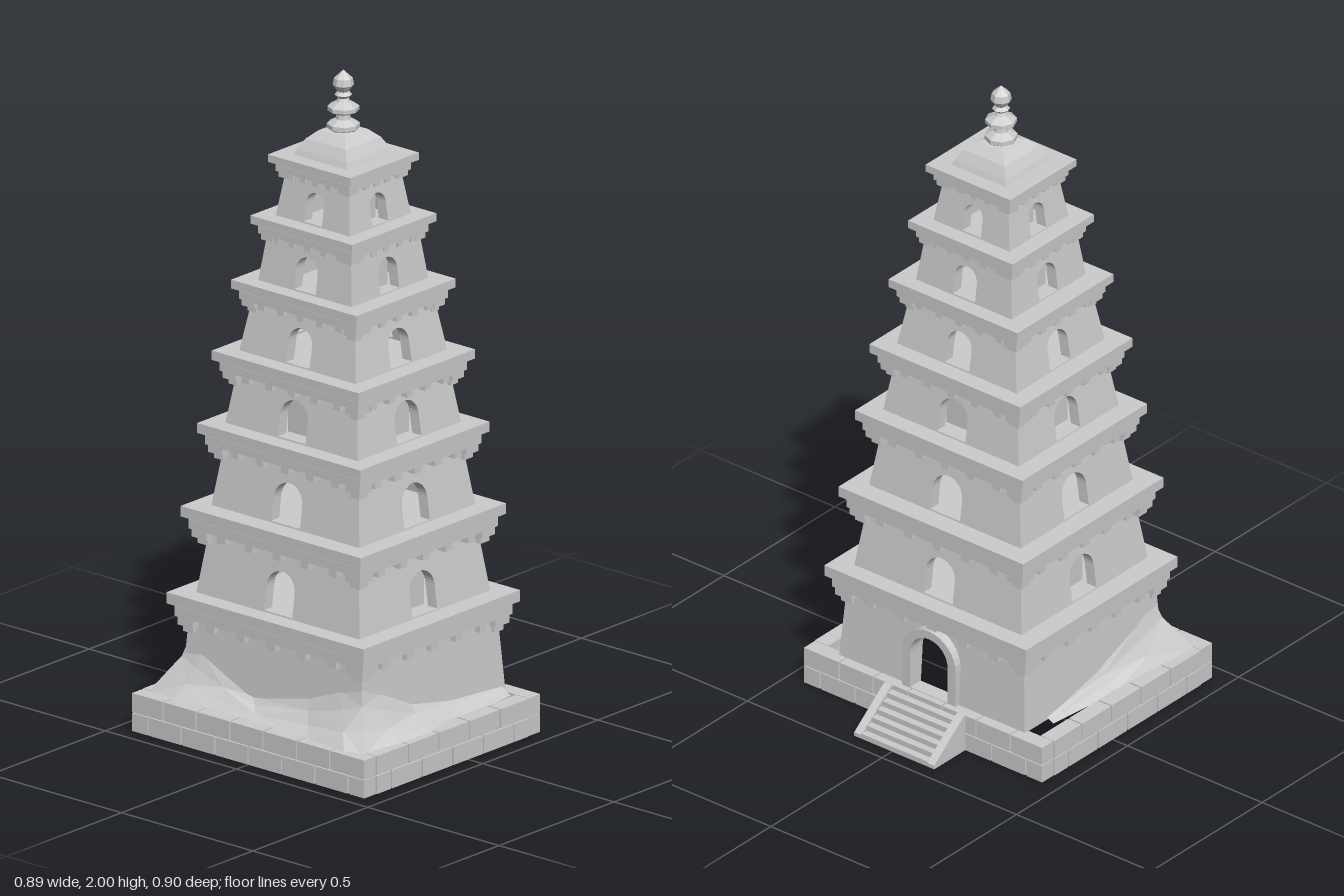
import * as THREE from 'three';

const stone = new THREE.MeshStandardMaterial({ color: 0xcccccc });
stone.name = 'grey stone';
const rubbleStone = stone.clone();
rubbleStone.name = 'grey rubble';
rubbleStone.side = THREE.DoubleSide;

const CX = -0.005, CZ = 0.03;

function add(parent, name, geometry, x = 0, y = 0, z = 0, material = stone) {
  const m = new THREE.Mesh(geometry, material);
  m.name = name;
  m.position.set(x, y, z);
  parent.add(m);
  return m;
}

// box given by its centre in x and z and its bottom in y
function box(parent, name, w, h, d, x, y, z) {
  return add(parent, name, new THREE.BoxGeometry(w, h, d), x, y + h / 2, z);
}

function flat(geometry) {
  const g = geometry.index ? geometry.toNonIndexed() : geometry;
  g.computeVertexNormals();
  return g;
}

// arched outline standing on y = sill
function arch(path, w, h, sill) {
  const r = w / 2, spring = sill + h - r;
  path.moveTo(-r, sill);
  path.lineTo(r, sill);
  path.lineTo(r, spring);
  path.absarc(0, spring, r, 0, Math.PI, false);
  path.lineTo(-r, sill);
  return path;
}

// leaning wall with an optional arched opening; outer face at distance db (bottom) to dt (top)
function wallGeometry(wb, wt, db, dt, h, opening) {
  const t = 0.035;
  const s = new THREE.Shape();
  s.moveTo(-wb, 0);
  s.lineTo(wb, 0);
  s.lineTo(wt, h);
  s.lineTo(-wt, h);
  s.closePath();
  if (opening) s.holes.push(arch(new THREE.Path(), opening.w, opening.h, opening.sill));
  const g = new THREE.ExtrudeGeometry(s, { depth: t, bevelEnabled: false, curveSegments: 8 });
  const p = g.attributes.position;
  for (let i = 0; i < p.count; i++) {
    p.setZ(i, p.getZ(i) - t + db + (dt - db) * p.getY(i) / h);
  }
  return flat(g);
}

// stepped cornice with small brackets and doubled corner brackets
function cornice(parent, top, W, D, wallX, wallZ, k) {
  const g = new THREE.Group();
  g.name = 'cornice';
  parent.add(g);
  const a = 0.034 * k, b = 0.03 * k, c = 0.026 * k;
  box(g, 'eaveSlab', 2 * W, a, 2 * D, 0, top - a, 0);
  box(g, 'eaveNeck', 2 * W - 0.05, 0.008, 2 * D - 0.05, 0, top - a - 0.008, 0);
  const y1 = top - a - 0.008 - b;
  box(g, 'lowerEave', 2 * W - 0.032, b, 2 * D - 0.032, 0, y1, 0);
  const size = 0.032 * k, n = 5;
  for (const s of [-1, 1]) {
    for (let i = 1; i <= n; i++) {
      const u = (i / (n + 1)) * 2 - 1;
      const lx = W - 0.026 - wallX + 0.02, lz = D - 0.026 - wallZ + 0.02;
      box(g, 'bracket', size, c, lz, u * W * 0.93, y1 - c, s * (D - 0.026 - lz / 2));
      box(g, 'bracket', lx, c, size, s * (W - 0.026 - lx / 2), y1 - c, u * D * 0.93);
    }
    for (const q of [-1, 1]) {
      box(g, 'cornerBracket', 0.06 * k, c, 0.06 * k, s * (W - 0.022 - 0.03 * k), y1 - c, q * (D - 0.022 - 0.03 * k));
      box(g, 'cornerBracketFoot', 0.04 * k, c, 0.04 * k, s * (W - 0.034 - 0.02 * k), y1 - 1.8 * c, q * (D - 0.034 - 0.02 * k));
    }
  }
}

// plinth ring of two courses of blocks
function plinth(root) {
  const g = new THREE.Group();
  g.name = 'plinth';
  root.add(g);
  const X = 0.445, Z0 = -0.315, Z1 = 0.45, t = 0.05, gap = 0.005, h = 0.0575;
  const zc = (Z0 + Z1) / 2, len = Z1 - Z0;
  for (const s of [-1, 1]) {
    box(g, 'plinthCore', 0.036, 0.111, len - 0.01, s * (X - 0.03), 0, zc);
    box(g, 'plinthCore', 2 * X - 0.01, 0.111, 0.036, 0, 0, s > 0 ? Z1 - 0.03 : Z0 + 0.03);
  }
  const course = (from, to, n, row, place) => {
    const step = (to - from) / n;
    const cuts = [from];
    for (let i = 0; i < n; i++) cuts.push(from + step * (i + (row ? 0.95 : 0.5)));
    if (to - cuts[n] > 0.03) cuts.push(to); else cuts[n] = to;
    for (let i = 0; i + 1 < cuts.length; i++) {
      place((cuts[i] + cuts[i + 1]) / 2, cuts[i + 1] - cuts[i] - gap, row * h);
    }
  };
  for (const row of [0, 1]) {
    const bh = row ? h : h - 0.003;
    for (const s of [-1, 1]) {
      course(-X, X, 7, row, (c, l, y) => box(g, 'plinthBlock', l, bh, t, c, y, s > 0 ? Z1 - t / 2 : Z0 + t / 2));
      course(Z0 + t, Z1 - t, 5, row, (c, l, y) => box(g, 'plinthBlock', t, bh, l, s * (X - t / 2), y, c));
    }
  }
}

// back stairs with sloping side walls
function stairs(root) {
  const g = new THREE.Group();
  g.name = 'stairs';
  root.add(g);
  const x0 = -0.157, x1 = 0.14, zTop = -0.315, run = 0.14, n = 6;
  for (let i = 0; i < n; i++) {
    const d = run / n;
    box(g, 'step', x1 - x0 - 0.05, 0.1 * (1 - i / n), d, (x0 + x1) / 2, 0, zTop - d * (i + 0.5));
  }
  const s = new THREE.Shape([[0, 0], [run, 0], [run, 0.012], [0.008, 0.115], [0, 0.115]].map(p => new THREE.Vector2(...p)));
  for (const x of [x0 + 0.027, x1]) {
    const m = add(g, 'stairSideWall', new THREE.ExtrudeGeometry(s, { depth: 0.027, bevelEnabled: false }), x, 0, zTop);
    m.rotation.y = Math.PI / 2;
    m.position.x = x - 0.027;
  }
}

// faceted rubble bank: each entry is foot x, foot z, wall x, wall z, top height
function rubble(root) {
  const path = [
    [0.375, -0.27, 0.335, -0.27, 0.13], [0.395, -0.05, 0.335, -0.05, 0.145],
    [0.432, 0.14, 0.335, 0.12, 0.175], [0.425, 0.28, 0.33, 0.25, 0.24],
    [0.408, 0.415, 0.325, 0.325, 0.285], [0.35, 0.432, 0.25, 0.33, 0.25],
    [0.2, 0.42, 0.13, 0.335, 0.2], [0.0, 0.412, -0.08, 0.335, 0.16],
    [-0.2, 0.405, -0.18, 0.335, 0.195], [-0.33, 0.415, -0.28, 0.33, 0.245],
    [-0.425, 0.4, -0.335, 0.32, 0.275], [-0.412, 0.25, -0.345, 0.22, 0.23],
    [-0.4, 0.08, -0.345, 0.06, 0.17], [-0.372, -0.18, -0.345, -0.18, 0.125]];
  const rows = 4, pos = [], idx = [];
  path.forEach(([fx, fz, wx, wz, top], i) => {
    for (let j = 0; j < rows; j++) {
      const t = j / (rows - 1);
      const e = 1 - Math.pow(1 - t, 1.5) + (j === 1 ? 0.07 * Math.sin(i * 2.3) : 0);
      pos.push(fx + (wx - fx) * e, 0.108 + (top - 0.108) * t, fz + (wz - fz) * e);
      if (i && j) {
        const a = (i - 1) * rows + j - 1, b = i * rows + j - 1;
        if ((i + j) % 2) idx.push(a, a + 1, b, b, a + 1, b + 1);
        else idx.push(a, a + 1, b + 1, a, b + 1, b);
      }
    }
  });
  const g = new THREE.BufferGeometry();
  g.setAttribute('position', new THREE.Float32BufferAttribute(pos, 3));
  g.setIndex(idx);
  add(root, 'rubbleBank', flat(g), 0, 0, 0, rubbleStone);
}

export function createModel() {
  const root = new THREE.Group();
  root.name = 'pagoda';
  plinth(root);
  stairs(root);
  rubble(root);

  const tower = new THREE.Group();
  tower.name = 'tower';
  tower.position.set(CX, 0, CZ);
  root.add(tower);

  // cornice top, cornice half width and depth, wall half width bottom and top, window width and height, blind axis
  const tiers = [
    [0.415, 0.375, 0.341, 0.345, 0.328, 0, 0, ''],
    [0.678, 0.343, 0.316, 0.311, 0.283, 0.108, 0.125, 'x'],
    [0.928, 0.311, 0.281, 0.282, 0.255, 0.11, 0.122, ''],
    [1.148, 0.280, 0.253, 0.252, 0.228, 0.105, 0.116, 'xz'],
    [1.363, 0.239, 0.216, 0.222, 0.196, 0.09, 0.108, ''],
    [1.560, 0.194, 0.183, 0.178, 0.160, 0.082, 0.1, 'x'],
    [1.745, 0.157, 0.149, 0.141, 0.122, 0.068, 0.09, 'x']];
  let y0 = 0.113;
  tiers.forEach(([top, W, D, wb, wt, ow, oh, blind], level) => {
    const tier = new THREE.Group();
    tier.name = 'tier' + (level + 1);
    tower.add(tier);
    const h = top - 0.06 - y0, dz = W - D;
    for (let side = 0; side < 4; side++) {
      const onX = side % 2 === 1;
      const a = onX ? -dz : 0, b = onX ? 0 : -dz;
      let opening = level ? { w: ow, h: oh, sill: 0.006 } : null;
      if (!level && side === 2) opening = { w: 0.14, h: 0.19, sill: 0.003 };
      const m = add(tier, 'wall', wallGeometry(wb + a, wt + a, wb + b, wt + b, h, opening), 0, y0, 0);
      m.rotation.y = side * Math.PI / 2;
      // recessed panel closing a blind window
      if (level && blind.includes(onX ? 'x' : 'z')) {
        const p = new THREE.Group();
        p.name = 'blindWindow';
        p.rotation.y = side * Math.PI / 2;
        tier.add(p);
        box(p, 'blindPanel', ow * 1.3, oh * 1.1, 0.008, 0, y0, wt + b - 0.042);
      }
    }
    cornice(tier, top, W, D, wt, wt - dz, 1 - level * 0.055);
    y0 = top - 0.001;
  });

  // arched door surround at the back
  const frame = arch(new THREE.Shape(), 0.2, 0.215, 0);
  frame.holes.push(arch(new THREE.Path(), 0.14, 0.186, 0.003));
  const surround = add(tower, 'doorSurround',
    flat(new THREE.ExtrudeGeometry(frame, { depth: 0.04, bevelEnabled: false, curveSegments: 8 })), 0, 0.114, -0.285);
  surround.rotation.y = Math.PI;

  // four-sided bell roof
  const roofProfile = [[0.145, 1.742], [0.133, 1.762], [0.108, 1.793], [0.07, 1.818], [0.03, 1.826], [0, 1.826]];
  const roof = add(tower, 'bellRoof', flat(new THREE.LatheGeometry(roofProfile.map(p => new THREE.Vector2(...p)), 4)));
  roof.rotation.y = Math.PI / 4;

  // finial
  const finialProfile = [[0.034, 1.815], [0.048, 1.825], [0.048, 1.838], [0.022, 1.852], [0.02, 1.866], [0.046, 1.878],
    [0.046, 1.89], [0.02, 1.905], [0.015, 1.915], [0.026, 1.925], [0.017, 1.935], [0.031, 1.955], [0.027, 1.975], [0, 2]];
  add(tower, 'finial', flat(new THREE.LatheGeometry(finialProfile.map(p => new THREE.Vector2(...p)), 8)));
  return root;
}
